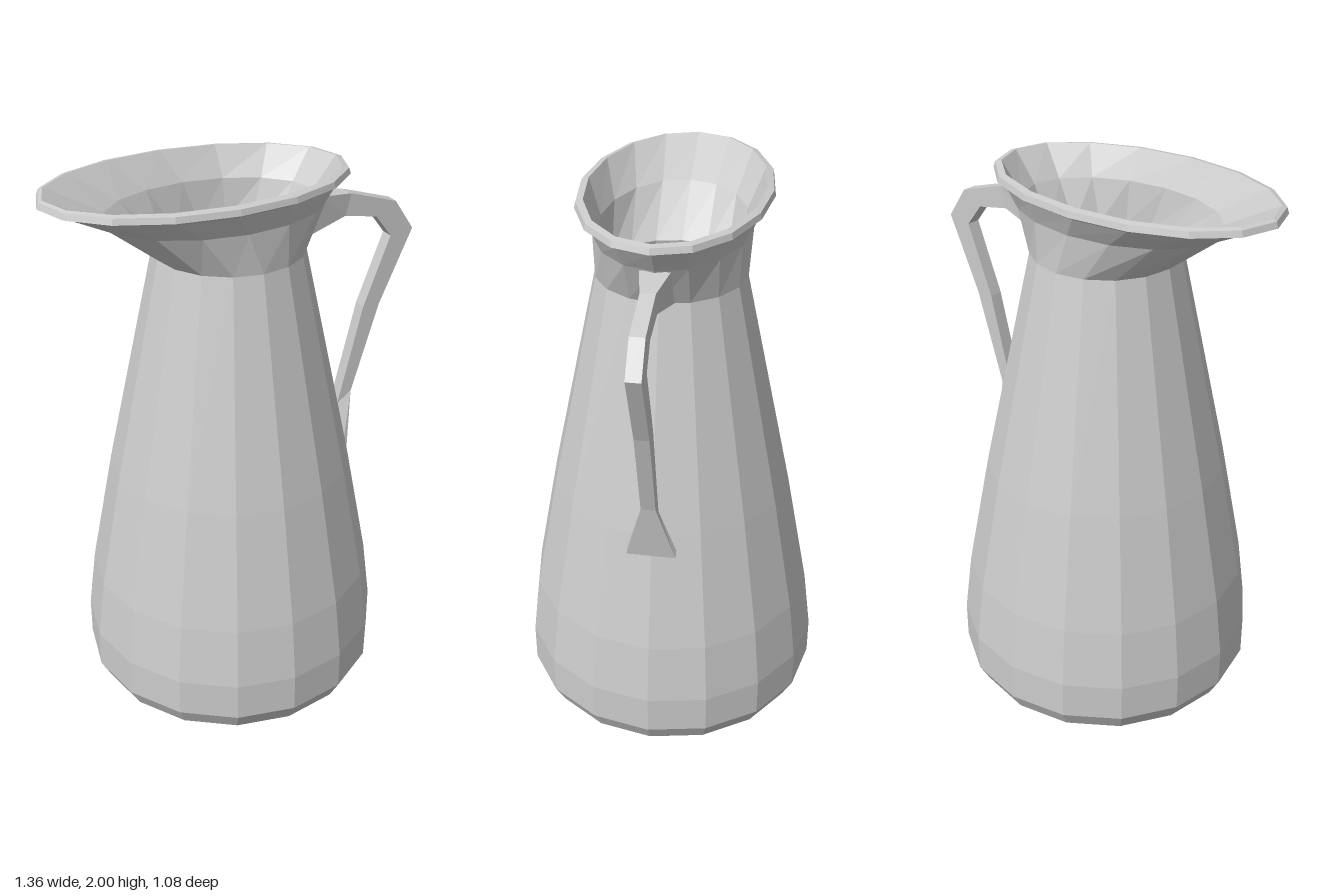
import * as THREE from 'three';

// Skins a series of equal-length closed rings of points with flat faces.
function loft(rings, material, name) {
  const pos = [];
  const tri = (a, b, c) => {
    if (a.distanceTo(b) < 1e-6 || b.distanceTo(c) < 1e-6 || c.distanceTo(a) < 1e-6) return;
    for (const p of [a, b, c]) pos.push(p.x, p.y, p.z);
  };
  for (let i = 0; i < rings.length - 1; i++) {
    const lo = rings[i], hi = rings[i + 1], n = lo.length;
    for (let j = 0; j < n; j++) {
      const k = (j + 1) % n;
      tri(lo[j], lo[k], hi[k]);
      tri(lo[j], hi[k], hi[j]);
    }
  }
  const geometry = new THREE.BufferGeometry();
  geometry.setAttribute('position', new THREE.Float32BufferAttribute(pos, 3));
  geometry.computeVertexNormals();
  const mesh = new THREE.Mesh(geometry, material);
  mesh.name = name;
  return mesh;
}

// 16-sided horizontal ellipse.
function ellipse(cx, rx, rz, y) {
  return Array.from({ length: 16 }, (_, j) => {
    const a = (j / 16) * Math.PI * 2;
    return new THREE.Vector3(cx + rx * Math.cos(a), y, -rz * Math.sin(a));
  });
}

export function createModel() {
  const group = new THREE.Group();
  group.name = 'pitcher';
  const material = new THREE.MeshStandardMaterial({
    color: 0xcccccc, flatShading: true, side: THREE.DoubleSide,
  });
  const axis = -0.03;

  // Outer body: radius, height
  const outer = [
    [0, 0], [0.08, 0.005], [0.5, 0.09], [0.538, 0.16], [0.538, 0.3],
    [0.51, 0.52], [0.428, 0.95], [0.258, 1.74],
  ].map(([r, y]) => ellipse(axis, r, r, y));
  group.add(loft(outer, material, 'body'));

  // Flared spout, rolled rim and inside of the spout: centre x, x radius, z radius, height
  const spout = [
    [axis, 0.258, 0.258, 1.74],
    [-0.085, 0.392, 0.265, 1.885],
    [-0.14, 0.5, 0.305, 1.962],
    [-0.143, 0.537, 0.327, 1.975],
    [-0.143, 0.53, 0.322, 1.995],
    [-0.147, 0.513, 0.298, 2.0],
    [-0.085, 0.37, 0.248, 1.895],
    [axis, 0.237, 0.237, 1.745],
  ].map((s) => ellipse(...s));
  group.add(loft(spout, material, 'spout'));

  // Hollow inside, down to a flat floor
  const inner = [
    [0.237, 1.745], [0.405, 0.95], [0.488, 0.52], [0.515, 0.3],
    [0.515, 0.17], [0.48, 0.11], [0, 0.11],
  ].map(([r, y]) => ellipse(axis, r, r, y));
  group.add(loft(inner, material, 'innerWall'));

  // Handle sections: outer x, y, inner x, y, half width
  const sections = [
    [0.295, 1.88, 0.225, 1.742, 0.05],
    [0.42, 1.865, 0.4, 1.788, 0.025],
    [0.6, 1.81, 0.525, 1.765, 0.025],
    [0.675, 1.7, 0.587, 1.685, 0.025],
    [0.555, 1.43, 0.49, 1.43, 0.025],
    [0.455, 1.1, 0.4, 1.06, 0.025],
    [0.412, 0.88, 0.395, 0.9, 0.085],
  ];
  const handle = sections.map(([ox, oy, ix, iy, w]) => [
    new THREE.Vector3(ox, oy, -w), new THREE.Vector3(ox, oy, w),
    new THREE.Vector3(ix, iy, w), new THREE.Vector3(ix, iy, -w),
  ]);
  // Close both ends
  const centre = (ring) => {
    const c = ring.reduce((s, p) => s.add(p), new THREE.Vector3()).divideScalar(4);
    return ring.map(() => c);
  };
  handle.unshift(centre(handle[0]));
  handle.push(centre(handle[handle.length - 1]));
  group.add(loft(handle, material, 'handle'));

  return group;
}
